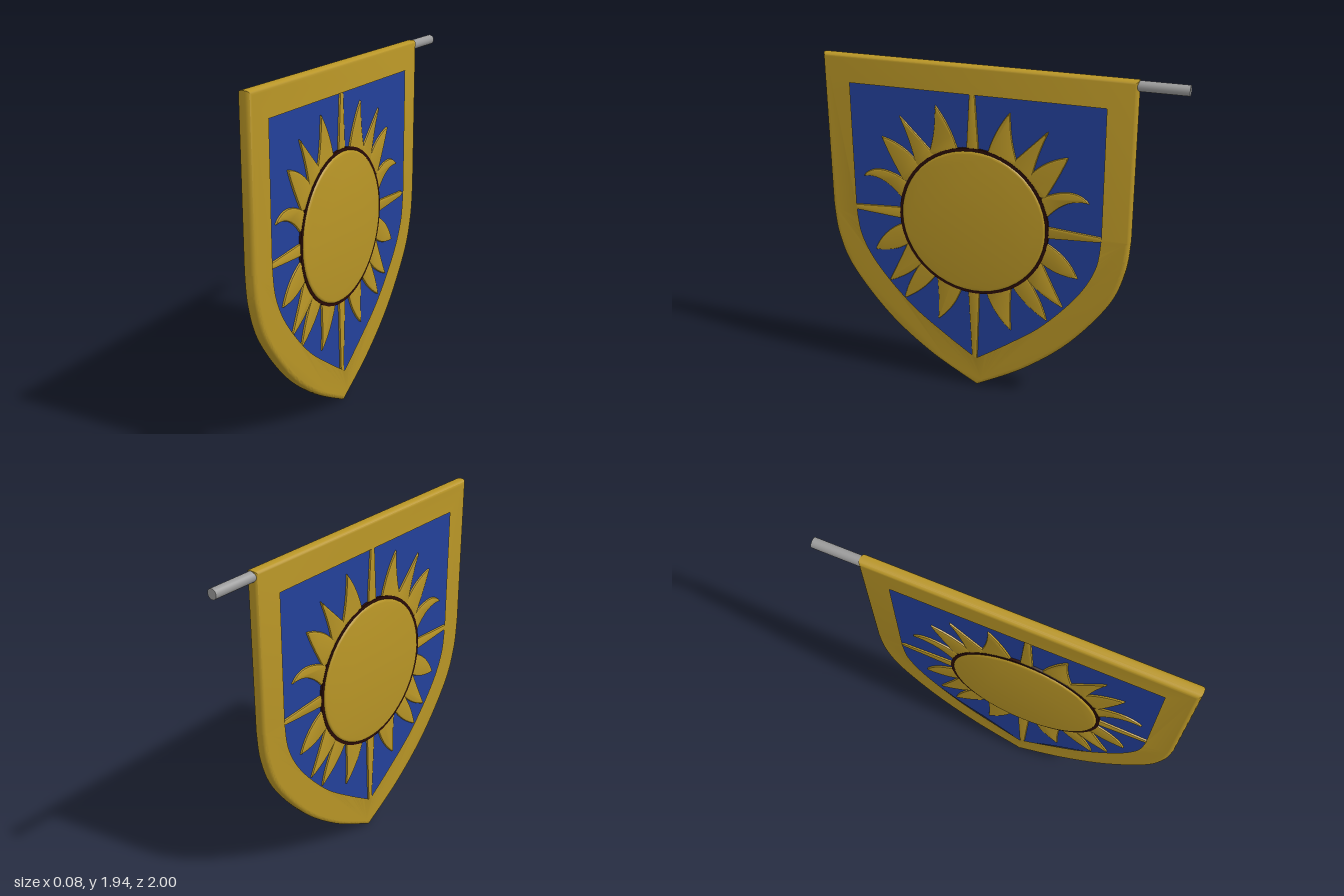
import * as THREE from 'three';
import { toCreasedNormals } from 'three/addons/utils/BufferGeometryUtils.js';

const CZ = 0.14, CY = 1.056; // centre of the sun

function material(name, color) {
  const m = new THREE.MeshStandardMaterial({ color });
  m.name = name;
  return m;
}

// Extrudes a shape to +-half thickness, with a rounded edge
function slab(name, shape, mat, half, bevel, steps = 3, offset = -bevel) {
  const depth = 2 * (half - bevel);
  const geo = new THREE.ExtrudeGeometry(shape, {
    depth, curveSegments: 24, bevelEnabled: bevel > 0,
    bevelSize: bevel, bevelThickness: bevel, bevelOffset: offset, bevelSegments: steps,
  });
  geo.translate(0, 0, -depth / 2);
  const mesh = new THREE.Mesh(toCreasedNormals(geo, 0.7), mat);
  mesh.name = name;
  return mesh;
}

// Shield outline: flat top, straight sides, curved sides meeting in a point
function shieldOutline(target, left, right, top, shoulder, tip, curve) {
  const mid = (left + right) / 2, w = (left - right) / 2;
  const side = (s) => curve.map(([u, v]) => new THREE.Vector2(mid + s * u * w, v));
  target.moveTo(right, top);
  target.lineTo(left, top);
  target.lineTo(left, shoulder);
  target.splineThru([...side(1), new THREE.Vector2(mid, tip)]);
  target.splineThru([...side(-1).reverse(), new THREE.Vector2(right, shoulder)]);
  target.lineTo(right, top);
  return target;
}

const OUTER = [1, -0.745, 1.945, 1.06, 0.005, [[0.975, 0.87], [0.88, 0.66], [0.63, 0.385], [0.33, 0.17]]];
const INNER = [0.87, -0.615, 1.815, 1.06, 0.165, [[0.965, 0.88], [0.83, 0.69], [0.56, 0.465], [0.28, 0.305]]];

// Wavy rays of one half: base, bend, tip, bend, base
const RAYS = [
  [[0.09, 0.42], [0.13, 0.55], [0.21, 0.65], [0.21, 0.5], [0.25, 0.38]],
  [[0.23, 0.38], [0.3, 0.45], [0.42, 0.57], [0.36, 0.44], [0.33, 0.3]],
  [[0.32, 0.31], [0.4, 0.41], [0.53, 0.44], [0.49, 0.34], [0.41, 0.2]],
  [[0.4, 0.2], [0.57, 0.29], [0.65, 0.2], [0.53, 0.22], [0.43, 0.1]],
  [[0.43, -0.07], [0.55, -0.13], [0.6, -0.25], [0.48, -0.25], [0.39, -0.18]],
  [[0.4, -0.19], [0.45, -0.3], [0.52, -0.44], [0.4, -0.39], [0.32, -0.3]],
  [[0.32, -0.3], [0.4, -0.42], [0.43, -0.54], [0.31, -0.47], [0.24, -0.37]],
  [[0.22, -0.38], [0.21, -0.52], [0.22, -0.64], [0.12, -0.55], [0.08, -0.43]],
];

function wavyRay(points, side) {
  const [a, b, c, d, e] = points.map(([u, v]) => [CZ + side * u, CY + v]);
  const inner = [CZ + side * points[2][0] * 0.5, CY + points[2][1] * 0.5];
  const s = new THREE.Shape();
  s.moveTo(...a);
  s.quadraticCurveTo(...b, ...c);
  s.quadraticCurveTo(...d, ...e);
  s.lineTo(...inner);
  s.closePath();
  return s;
}

// Straight tapered ray pointing along an angle
function straightRay(angle, length) {
  const pts = [[0.36, -0.034], [0.46, -0.031], [length - 0.02, -0.014], [length, 0],
    [length - 0.02, 0.014], [0.46, 0.031], [0.36, 0.034]];
  const c = Math.cos(angle), n = Math.sin(angle);
  return new THREE.Shape(pts.map(([r, w]) => new THREE.Vector2(CZ + r * c - w * n, CY + r * n + w * c)));
}

function circle(radius, hole) {
  const s = new THREE.Shape().absarc(CZ, CY, radius, 0, Math.PI * 2, false);
  if (hole) s.holes.push(new THREE.Path().absarc(CZ, CY, hole, 0, Math.PI * 2, true));
  return s;
}

export function createModel() {
  const gold = material('gold', 0xb89526);
  const blue = material('blue', 0x23409a);
  const dark = material('dark brown', 0x2a0c06);
  const grey = material('grey metal', 0x9a9a9a);

  const model = new THREE.Group();
  model.name = 'shieldSign';

  // Flat shield parts are drawn facing z, then turned to face x
  const shield = new THREE.Group();
  shield.name = 'shield';
  shield.rotation.y = -Math.PI / 2;
  model.add(shield);

  // Rounded border
  const border = shieldOutline(new THREE.Shape(), ...OUTER);
  border.holes.push(shieldOutline(new THREE.Path(), ...INNER));
  shield.add(slab('border', border, gold, 0.035, 0.024, 5));

  // Blue field, reaching slightly under the border
  const field = shieldOutline(new THREE.Shape(), 0.9, -0.645, 1.845, 1.06, 0.13, INNER[5]);
  shield.add(slab('field', field, blue, 0.02, 0));

  // Sun: disc, dark outline and rays
  const sun = new THREE.Group();
  sun.name = 'sun';
  shield.add(sun);
  sun.add(slab('sunDisc', circle(0.42), gold, 0.042, 0.012));
  sun.add(slab('sunOutline', circle(0.437, 0.41), dark, 0.033, 0));
  for (const side of [1, -1]) {
    for (const ray of RAYS) sun.add(slab('wavyRay', wavyRay(ray, side), gold, 0.031, 0.01, 2, -0.006));
  }
  [0.74, 0.76, 0.74, 0.89].forEach((length, i) => {
    sun.add(slab('straightRay', straightRay(i * Math.PI / 2, length), gold, 0.031, 0.008, 2, -0.006));
  });

  // Hanging rod out of the top rear corner
  const rod = new THREE.Mesh(new THREE.CylinderGeometry(0.028, 0.028, 0.3, 24), grey);
  rod.name = 'rod';
  rod.rotation.x = Math.PI / 2;
  rod.position.set(0, 1.915, -0.85);
  model.add(rod);

  return model;
}
